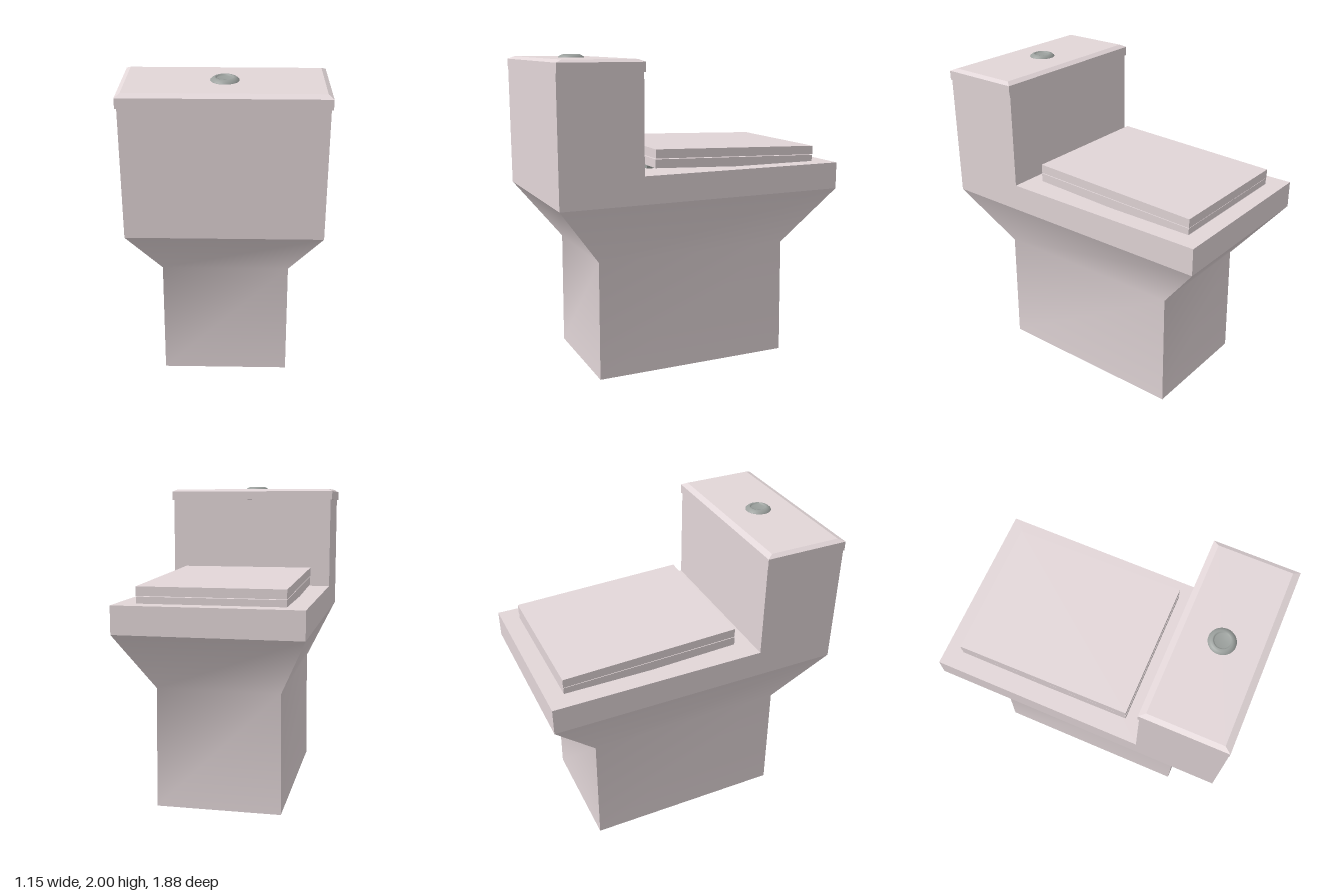
import * as THREE from 'three';
import { mergeGeometries } from 'three/addons/utils/BufferGeometryUtils.js';

const ceramic = new THREE.MeshStandardMaterial({ color: 0xe2d6d8 });
const metal = new THREE.MeshStandardMaterial({ color: 0x9a9f9c, side: THREE.DoubleSide });

// Corners of a rectangular level { y, x, z0, z1 }, counter-clockwise seen from above
const corners = ({ y, x, z0, z1 }) => [[-x, y, z1], [x, y, z1], [x, y, z0], [-x, y, z0]];

function strip(rows) {
  const g = new THREE.BufferGeometry();
  g.setAttribute('position', new THREE.Float32BufferAttribute(rows.flat(2), 3));
  const index = [];
  for (let i = 0; i < rows.length - 1; i++) {
    const a = i * 2;
    index.push(a, a + 1, a + 3, a, a + 3, a + 2);
  }
  g.setIndex(index);
  g.computeVertexNormals();
  return g;
}

// Stacked rectangles: each wall is smooth vertically, with sharp vertical corners
function loft(levels) {
  const loops = levels.map(corners);
  const bottom = loops[0], top = loops[loops.length - 1];
  const parts = [
    strip([[top[0], top[1]], [top[3], top[2]]]),
    strip([[bottom[3], bottom[2]], [bottom[0], bottom[1]]]),
  ];
  for (let s = 0; s < 4; s++) parts.push(strip(loops.map((l) => [l[s], l[(s + 1) % 4]])));
  return mergeGeometries(parts);
}

// Side outline in (z, y), extruded across the width
function extrudeAcross(points, width) {
  const shape = new THREE.Shape(points.map(([z, y]) => new THREE.Vector2(z, y)));
  return new THREE.ExtrudeGeometry(shape, { depth: width, bevelEnabled: false })
    .translate(0, 0, -width / 2)
    .rotateY(-Math.PI / 2);
}

export function createModel() {
  const group = new THREE.Group();
  const add = (name, geometry, material = ceramic) => {
    const mesh = new THREE.Mesh(geometry, material);
    mesh.name = name;
    group.add(mesh);
    return mesh;
  };

  // Pedestal flaring out to the rim
  add('pedestal', loft([
    { y: 0, x: 0.392, z0: -0.645, z1: 0.655 },
    { y: 0.757, x: 0.387, z0: -0.637, z1: 0.65 },
    { y: 1.13, x: 0.565, z0: -0.94, z1: 0.94 },
  ]));

  // Rim and cistern in one L-shaped block
  add('rimAndCistern', extrudeAcross([
    [-0.94, 1.13], [0.94, 1.13], [0.94, 1.91], [0.417, 1.91], [0.417, 1.302], [-0.94, 1.302],
  ], 1.13));

  // Cistern lid: straight edge, then a chamfered top
  const lidBase = { x: 0.576, z0: 0.411, z1: 0.94 };
  const lidEdge = { ...lidBase, y: 1.965 };
  add('cisternLid', loft([{ ...lidBase, y: 1.906 }, lidEdge]));
  add('cisternLidTop', loft([lidEdge, { y: 1.981, x: 0.548, z0: 0.447, z1: 0.9 }]));

  // Flush button with a dished centre
  const buttonProfile = [
    [0.082, 1.978], [0.08, 1.985], [0.068, 1.995], [0.056, 2], [0.048, 1.998], [0.045, 1.989], [0, 1.989],
  ].map(([r, y]) => new THREE.Vector2(r, y));
  add('flushButton', new THREE.LatheGeometry(buttonProfile, 32).translate(0, 0, 0.675), metal);

  // Seat and cover, sloping down away from the cistern
  add('seat', extrudeAcross([
    [-0.828, 1.279], [0.297, 1.325], [0.297, 1.379], [-0.828, 1.343],
  ], 0.888));
  add('seatCover', extrudeAcross([
    [-0.83, 1.347], [0.295, 1.384], [0.295, 1.44], [-0.83, 1.403],
  ], 0.89));

  // Hinge blocks under the back of the seat
  for (const side of [-1, 1]) {
    add('seatHinge', new THREE.BoxGeometry(0.1, 0.04, 0.05), metal)
      .position.set(side * 0.25, 1.312, 0.268);
  }
  return group;
}
